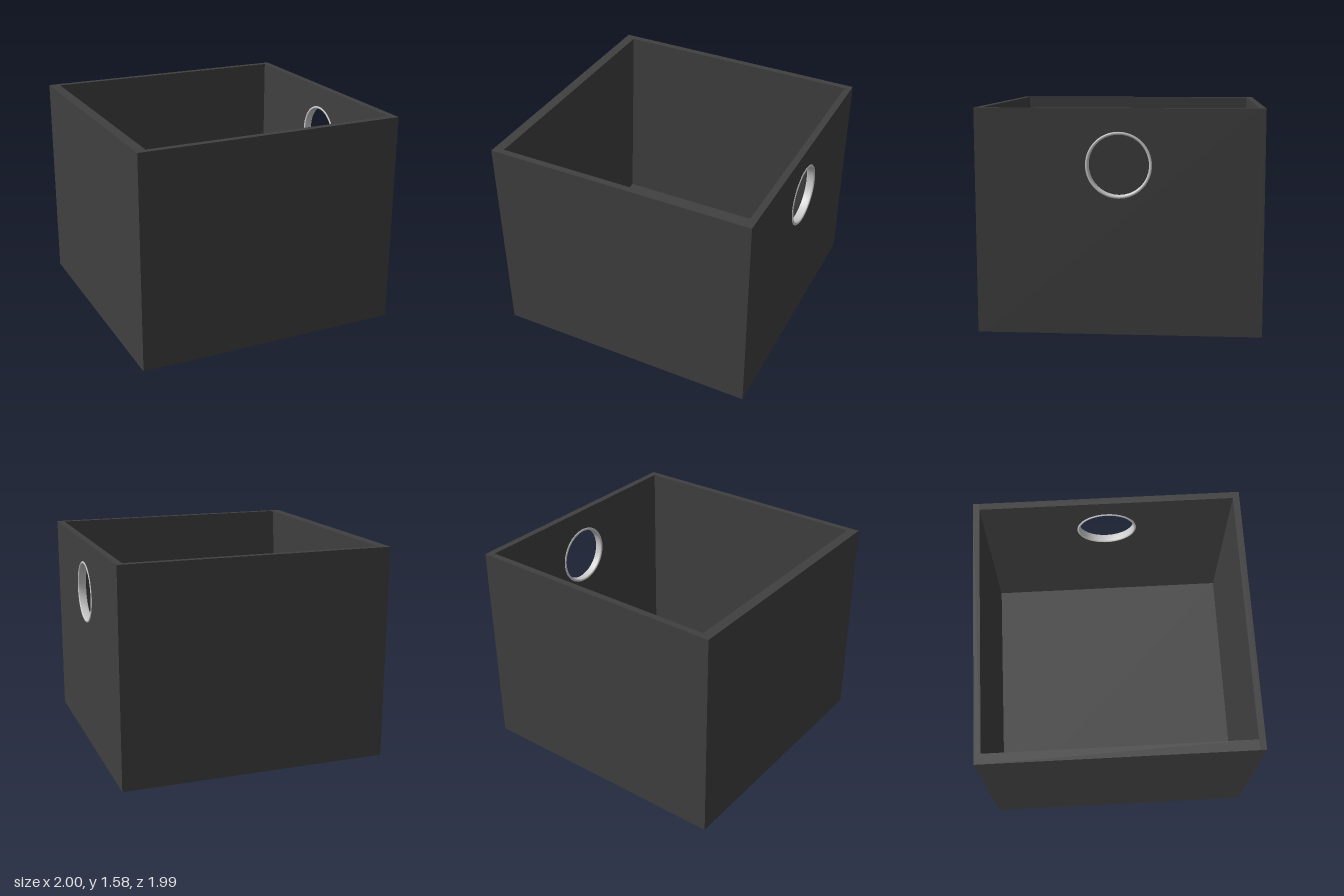
import * as THREE from 'three';

const H = 1.58, LEFT = -1, RIGHT = 0.993, HALF_Z = 0.996;
const INNER_Z = 0.948, INNER_RIGHT = 0.943, FLOOR = 0.05;
const HOLE_Y = 1.19, HOLE_R = 0.22;

export function createModel() {
  const group = new THREE.Group();
  const dark = new THREE.MeshStandardMaterial({ color: 0x404040 });
  const grey = new THREE.MeshStandardMaterial({ color: 0xcccccc });

  const add = (name, geometry, material = dark) => {
    const mesh = new THREE.Mesh(geometry, material);
    mesh.name = name;
    group.add(mesh);
    return mesh;
  };
  const polygon = (pts) => new THREE.Shape(pts.map(([x, y]) => new THREE.Vector2(x, y)));
  const extrude = (shape, depth) =>
    new THREE.ExtrudeGeometry(shape, { depth, bevelEnabled: false, curveSegments: 48 });

  // Front and back panels across the full width
  const thick = HALF_Z - INNER_Z;
  for (const [name, side] of [['frontWall', 1], ['backWall', -1]]) {
    add(name, new THREE.BoxGeometry(RIGHT - LEFT, H, thick))
      .position.set((LEFT + RIGHT) / 2, H / 2, side * (HALF_Z - thick / 2));
  }

  // Floor and the opposite wall, whose inner face leans in towards the rim
  const section = polygon([
    [LEFT, 0], [INNER_RIGHT, 0], [INNER_RIGHT, FLOOR], [-0.99, FLOOR], [-0.925, H], [LEFT, H],
  ]);
  add('floorAndPlainWall', extrude(section, 2 * INNER_Z).translate(0, 0, -INNER_Z));

  // Wall with the round handle hole
  const panel = polygon([[-INNER_Z, 0], [INNER_Z, 0], [INNER_Z, H], [-INNER_Z, H]]);
  panel.holes.push(new THREE.Path().absarc(0, HOLE_Y, HOLE_R, 0, Math.PI * 2, true));
  add('handleWall', extrude(panel, RIGHT - INNER_RIGHT)
    .rotateY(Math.PI / 2).translate(INNER_RIGHT, 0, 0));

  // Metal eyelet lining the hole, with a small rolled lip on each face
  const profile = [
    [HOLE_R, INNER_RIGHT], [0.23, INNER_RIGHT], [0.227, 0.938], [0.22, 0.936], [0.213, 0.938],
    [0.209, 0.945], [0.209, 0.99], [0.213, 0.997], [0.22, 1], [0.227, 0.997], [0.23, RIGHT],
    [HOLE_R, RIGHT],
  ].map(([r, h]) => new THREE.Vector2(r, h)).reverse();
  add('eyelet', new THREE.LatheGeometry(profile, 64).rotateZ(-Math.PI / 2), new THREE.MeshStandardMaterial({
    color: grey.color, side: THREE.DoubleSide,
  })).position.y = HOLE_Y;

  return group;
}
